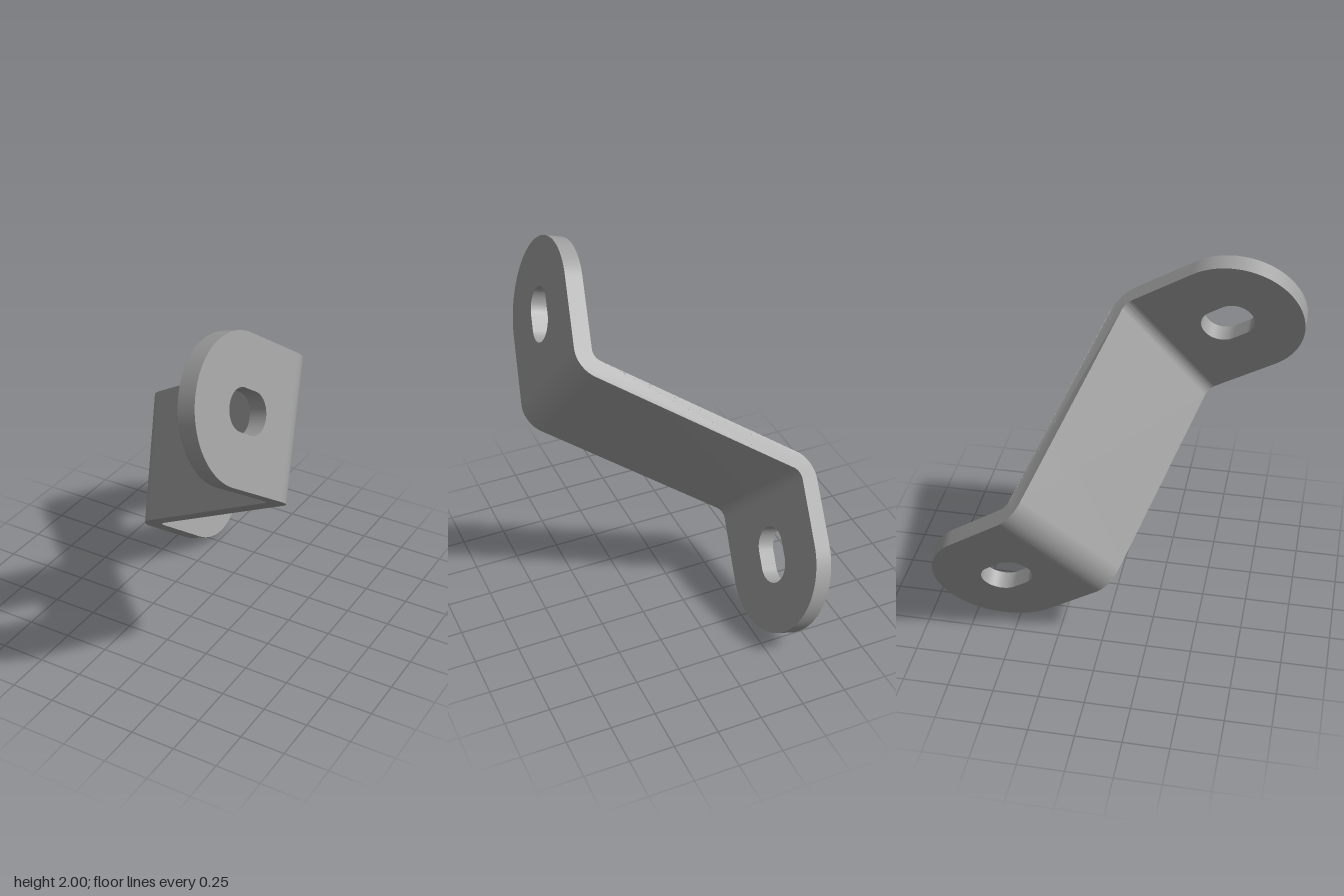
import * as THREE from 'three';
import { toCreasedNormals } from 'three/addons/utils/BufferGeometryUtils.js';

const R = 0.385;        // half width of the strip and radius of its ends
const T = 0.1;          // plate thickness
const BEND = 0.12;      // mid-plane bend radius
const SLOT_R = 0.11, SLOT_LEN = 0.095;
const Q = Math.PI / 2;
const rad = THREE.MathUtils.degToRad;

// Each bend: corner position along the web, bend angle, skew of the bend line,
// and reach from the corner to the centre of the rounded end
const UPPER = { corner: 0.671, angle: rad(69), skew: -0.06, reach: 0.5 };
const LOWER = { corner: -0.673, angle: rad(67), skew: 0.04, reach: 0.445 };
const setback = (bend) => BEND * Math.tan(bend.angle / 2);

// Web with both bends, drawn as a side profile and extruded across the width
function webGeometry() {
  const outer = BEND + T / 2, inner = BEND - T / 2;
  const xu = UPPER.corner - setback(UPPER), xl = LOWER.corner + setback(LOWER);
  const s = new THREE.Shape();
  s.absarc(xu, BEND, outer, -Q, -Q + UPPER.angle, false);
  s.absarc(xu, BEND, inner, -Q + UPPER.angle, -Q, true);
  s.absarc(xl, -BEND, outer, Q, Q + LOWER.angle, false);
  s.absarc(xl, -BEND, inner, Q + LOWER.angle, Q, true);
  s.closePath();
  const g = new THREE.ExtrudeGeometry(s, { depth: 2 * R, bevelEnabled: false, curveSegments: 14 });
  return g.translate(0, 0, -R);
}

// Round-ended plate with a slot, placed at a corner of the web
function flangeGeometry(bend, direction) {
  const start = setback(bend);
  const s = new THREE.Shape();
  s.moveTo(start, R);
  s.lineTo(start, -R);
  s.absarc(bend.reach, 0, R, -Q, Q, false);
  s.closePath();
  const slot = new THREE.Path();
  slot.absarc(bend.reach, 0, SLOT_R, Q, -Q, true);
  slot.absarc(bend.reach - SLOT_LEN, 0, SLOT_R, -Q, -3 * Q, true);
  slot.closePath();
  s.holes.push(slot);
  const g = new THREE.ExtrudeGeometry(s, { depth: T, bevelEnabled: false, curveSegments: 32 });
  g.translate(0, 0, -T / 2);
  const f = new THREE.Vector3(Math.cos(direction), Math.sin(direction), 0);
  const w = new THREE.Vector3(0, 0, 1);
  const m = new THREE.Matrix4().makeBasis(f, w, f.clone().cross(w)).setPosition(bend.corner, 0, 0);
  return g.applyMatrix4(m);
}

// Swivel each end about its corner, so the two bend lines are slightly skewed
function swivelEnds(geometry) {
  const p = geometry.attributes.position;
  for (let i = 0; i < p.count; i++) {
    const { corner, skew } = p.getX(i) > 0 ? UPPER : LOWER;
    const d = p.getX(i) - corner, z = p.getZ(i);
    p.setX(i, corner + d * Math.cos(skew) + z * Math.sin(skew));
    p.setZ(i, z * Math.cos(skew) - d * Math.sin(skew));
  }
  return geometry;
}

export function createModel() {
  const group = new THREE.Group();
  group.name = 'offsetBracket';
  const steel = new THREE.MeshStandardMaterial({ color: 0xa0a0a0 });
  steel.name = 'grey steel';

  // Tilt of the whole bracket: along the web, its normal, across the strip
  const u = new THREE.Vector3(0.806, 0.516, 0.292).normalize();
  const w = new THREE.Vector3(0.25, -0.75, 0.61);
  w.addScaledVector(u, -w.dot(u)).normalize();
  const tilt = new THREE.Matrix4().makeBasis(u, w.clone().cross(u), w);

  const parts = {
    web: webGeometry(),
    upperFlange: flangeGeometry(UPPER, UPPER.angle),
    lowerFlange: flangeGeometry(LOWER, Math.PI + LOWER.angle),
  };
  const box = new THREE.Box3();
  for (const [name, raw] of Object.entries(parts)) {
    const geometry = toCreasedNormals(swivelEnds(raw).applyMatrix4(tilt), 0.5);
    geometry.computeBoundingBox();
    box.union(geometry.boundingBox);
    const mesh = new THREE.Mesh(geometry, steel);
    mesh.name = name;
    group.add(mesh);
  }

  // Stand on the ground, centred
  const c = box.getCenter(new THREE.Vector3());
  for (const mesh of group.children) mesh.geometry.translate(-c.x, -box.min.y, -c.z);
  return group;
}
